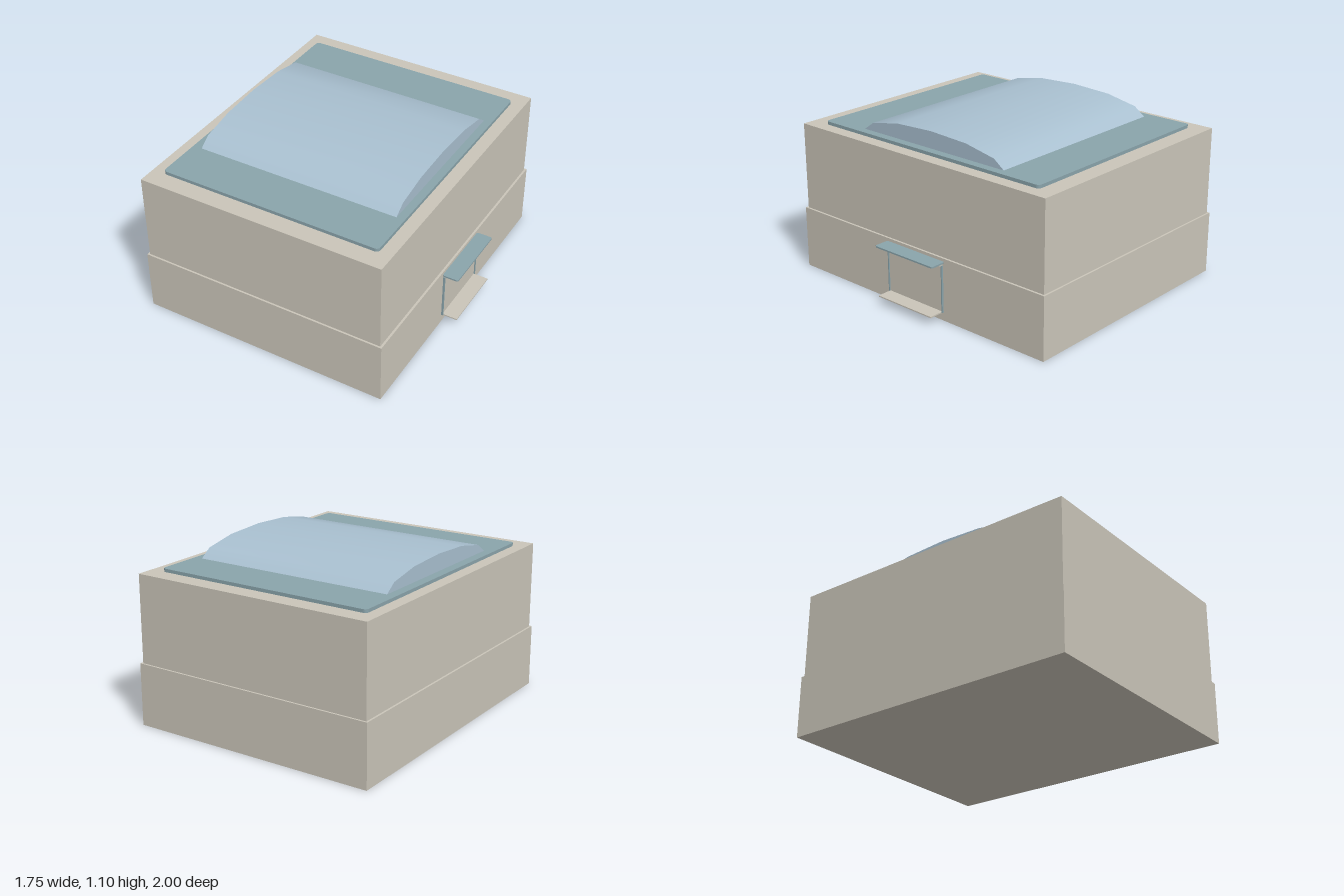
import * as THREE from 'three';
import { toCreasedNormals } from 'three/addons/utils/BufferGeometryUtils.js';

export function createModel() {
  const model = new THREE.Group();
  model.name = 'building';

  const material = (name, color) => {
    const m = new THREE.MeshStandardMaterial({ color });
    m.name = name;
    return m;
  };
  const beige = material('beige wall', 0xcac5b9);
  const teal = material('teal trim', 0x8aa4ab);
  const blue = material('pale blue roof', 0xa9c0d0);

  const add = (name, geometry, mat) => {
    const mesh = new THREE.Mesh(geometry, mat);
    mesh.name = name;
    model.add(mesh);
    return mesh;
  };

  // Box given by its extents on each axis
  const box = (name, mat, x0, x1, y0, y1, z0, z1) =>
    add(name, new THREE.BoxGeometry(x1 - x0, y1 - y0, z1 - z0), mat)
      .position.set((x0 + x1) / 2, (y0 + y1) / 2, (z0 + z1) / 2);

  // Flat horizontal slab with rounded corners
  const slab = (name, mat, x0, x1, y0, y1, halfZ, r) => {
    const s = new THREE.Shape();
    s.moveTo(x0 + r, -halfZ);
    s.lineTo(x1 - r, -halfZ);
    s.absarc(x1 - r, -halfZ + r, r, -Math.PI / 2, 0);
    s.lineTo(x1, halfZ - r);
    s.absarc(x1 - r, halfZ - r, r, 0, Math.PI / 2);
    s.lineTo(x0 + r, halfZ);
    s.absarc(x0 + r, halfZ - r, r, Math.PI / 2, Math.PI);
    s.lineTo(x0, -halfZ + r);
    s.absarc(x0 + r, -halfZ + r, r, Math.PI, Math.PI * 1.5);
    const g = new THREE.ExtrudeGeometry(s, { depth: y1 - y0, bevelEnabled: false, curveSegments: 4 });
    g.rotateX(-Math.PI / 2).translate(0, y0, 0);
    add(name, g, mat);
  };

  // Walls: wider base storey under a slightly inset upper storey
  box('baseStorey', beige, -0.878, 0.772, 0, 0.405, -1, 1);
  box('upperStorey', beige, -0.865, 0.758, 0.405, 0.972, -0.988, 0.988);

  // Roof plate and the shallow vault on it
  slab('roofPlate', teal, -0.785, 0.673, 0.972, 0.993, 0.872, 0.025);
  const arc = [[0.57, 0.993], [0.495, 1.047], [0.28, 1.088], [0, 1.101]];
  const mirrored = arc.slice(0, -1).reverse().map(([z, y]) => [-z, y]);
  const profile = new THREE.Shape([...arc, ...mirrored].map(([z, y]) => new THREE.Vector2(z, y)));
  const vault = new THREE.ExtrudeGeometry(profile, { depth: 1.345, bevelEnabled: false });
  vault.rotateY(Math.PI / 2).translate(-0.725, 0, 0);
  add('roofVault', toCreasedNormals(vault, 0.8), blue);

  // Doorway on the left wall: panel, posts, lintel, canopy and step
  box('doorPanel', beige, 0.77, 0.777, 0.06, 0.36, -0.222, 0.222);
  for (const side of [-1, 1]) {
    const z = side * 0.225;
    box('doorPost', teal, 0.77, 0.784, 0.055, 0.36, z - 0.004, z + 0.004);
  }
  box('doorLintel', beige, 0.77, 0.797, 0.358, 0.376, -0.225, 0.225);
  slab('doorCanopy', teal, 0.772, 0.876, 0.376, 0.386, 0.24, 0.012);
  box('doorStep', beige, 0.77, 0.876, 0.052, 0.06, -0.222, 0.222);

  return model;
}
